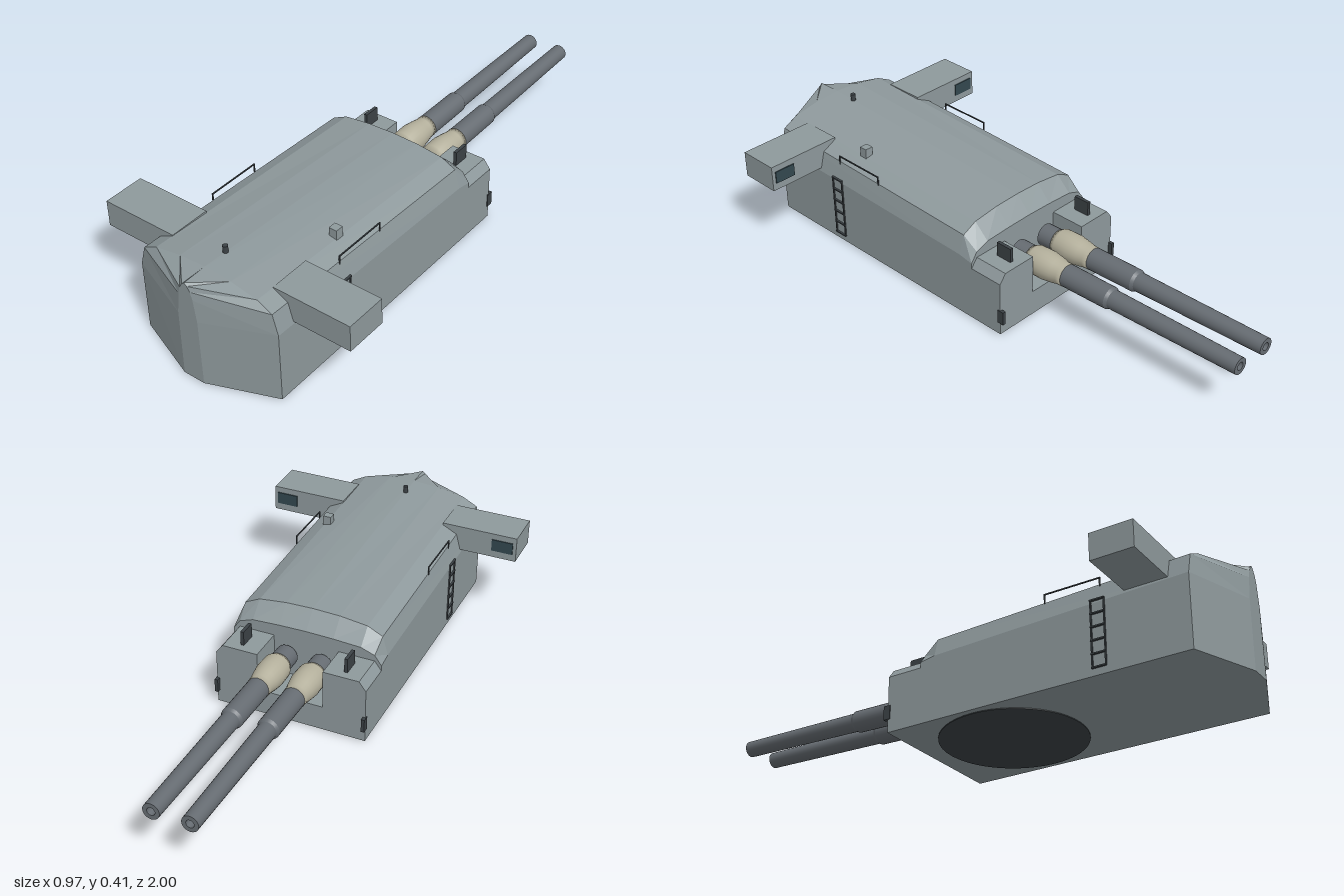
import * as THREE from 'three';

const paint = (color, extra = {}) => new THREE.MeshStandardMaterial({ color, ...extra });

// Lofts half profiles (x, y from bottom edge to crown) mirrored in x, along rising z
function loft(sections) {
  const rings = sections.map(({ z, half }) => {
    const left = half.slice(0, -1).reverse().map(([x, y]) => [-x, y]);
    return [...half, ...left].map(([x, y]) => [x, y, z]);
  });
  const pos = [];
  const n = rings[0].length;
  for (let i = 0; i < rings.length - 1; i++) {
    for (let j = 0; j < n; j++) {
      const k = (j + 1) % n;
      const [a, b, c, d] = [rings[i][j], rings[i][k], rings[i + 1][k], rings[i + 1][j]];
      pos.push(...a, ...b, ...c, ...a, ...c, ...d);
    }
  }
  // End caps as fans
  const first = rings[0], last = rings[rings.length - 1];
  for (let j = 0; j < n; j++) {
    const k = (j + 1) % n;
    pos.push(0, 0.12, first[0][2], ...first[k], ...first[j]);
    pos.push(0, 0.12, last[0][2], ...last[j], ...last[k]);
  }
  const g = new THREE.BufferGeometry();
  g.setAttribute('position', new THREE.Float32BufferAttribute(pos, 3));
  g.computeVertexNormals();
  return g;
}

export function createModel() {
  const model = new THREE.Group();
  model.name = 'gunTurret';
  const armour = paint(0x8e999c, { flatShading: true });
  const steel = paint(0x666c72);
  const canvas = paint(0xb5b19d);
  const dark = paint(0x3c4246);
  const glass = paint(0x33474f);

  const add = (name, geo, mat, x = 0, y = 0, z = 0, parent = model) => {
    const m = new THREE.Mesh(geo, mat);
    m.name = name;
    m.position.set(x, y, z);
    parent.add(m);
    return m;
  };
  const box = (name, w, h, d, mat, x, y, z, parent) =>
    add(name, new THREE.BoxGeometry(w, h, d), mat, x, y, z, parent);

  // Main armoured house, with sloped roof front and pointed rear plate
  const base = 0.003;
  add('house', loft([
    { z: -0.07, half: [[0.275, base], [0.275, 0.225], [0.25, 0.26], [0.2, 0.278], [0.1, 0.283], [0, 0.285]] },
    { z: -0.015, half: [[0.275, base], [0.275, 0.235], [0.255, 0.303], [0.2, 0.33], [0.1, 0.342], [0, 0.345]] },
    { z: 0.91, half: [[0.275, base], [0.275, 0.26], [0.255, 0.332], [0.2, 0.36], [0.1, 0.378], [0, 0.385]] },
    { z: 1, half: [[0.04, base], [0.038, 0.25], [0.028, 0.33], [0.02, 0.358], [0.01, 0.375], [0, 0.384]] },
  ]), armour);

  // Front plate with a slot between two cheeks for the guns
  const front = new THREE.Shape([
    [-0.275, base], [0.275, base], [0.275, 0.205], [0.25, 0.238], [0.12, 0.238], [0.12, 0.095],
    [-0.12, 0.095], [-0.12, 0.238], [-0.25, 0.238], [-0.275, 0.205],
  ].map(([x, y]) => new THREE.Vector2(x, y)));
  add('frontCheeks', new THREE.ExtrudeGeometry(front, { depth: 0.132, bevelEnabled: false }),
    armour, 0, 0, -0.2);

  // Bearing ring underneath
  add('bearingRing', new THREE.CylinderGeometry(0.253, 0.253, 0.004, 48), dark, 0, 0.002, 0.12);

  // Lathe profiles run from breech to muzzle along the bore
  const lathe = (pts) => new THREE.LatheGeometry(pts.map(([r, l]) => new THREE.Vector2(r, l)), 24);
  const breech = new THREE.CylinderGeometry(0.04, 0.04, 0.09, 24);
  const boot = lathe([[0, 0.055], [0.042, 0.055], [0.051, 0.075], [0.052, 0.13], [0.046, 0.17],
    [0.041, 0.195], [0.041, 0.215], [0, 0.215]]);
  const jacket = lathe([[0.04, 0.21], [0.039, 0.4], [0.039, 0.4], [0.032, 0.412]]);
  const tube = lathe([[0.033, 0.4], [0.029, 0.91], [0.029, 0.91], [0.014, 0.91], [0.014, 0.91], [0.014, 0.84]]);
  const bore = new THREE.CylinderGeometry(0.014, 0.014, 0.01, 16);

  for (const s of [1, -1]) {
    const side = s > 0 ? 'left' : 'right';

    // Gun, raised slightly
    const gun = new THREE.Group();
    gun.name = side + 'Gun';
    gun.position.set(s * 0.065, 0.181, -0.09);
    gun.rotation.x = -Math.PI / 2 + 0.022;
    model.add(gun);
    add('breech', breech, steel, 0, 0.04, 0, gun);
    add('blastBag', boot, canvas, 0, 0, 0, gun);
    add('gunJacket', jacket, steel, 0, 0, 0, gun);
    add('barrel', tube, steel, 0, 0, 0, gun);
    add('bore', bore, dark, 0, 0.84, 0, gun);

    // Rangefinder arm with window facing the guns
    box(side + 'RangefinderArm', 0.285, 0.095, 0.15, armour, s * 0.3425, 0.3125, 0.765);
    box(side + 'RangefinderWindow', 0.08, 0.045, 0.006, glass, s * 0.432, 0.315, 0.689);

    // Sight hood on the cheek and bracket on the front corner
    box(side + 'SightHood', 0.012, 0.055, 0.06, dark, s * 0.19, 0.263, -0.14);
    box(side + 'CornerBracket', 0.012, 0.05, 0.025, dark, s * 0.272, 0.075, -0.203);

    // Side ladder
    const ladder = new THREE.Group();
    ladder.name = side + 'Ladder';
    model.add(ladder);
    for (const z of [0.575, 0.622])
      box('ladderRail', 0.005, 0.235, 0.005, dark, s * 0.277, 0.145, z, ladder);
    for (let i = 0; i < 6; i++)
      box('ladderRung', 0.008, 0.005, 0.05, dark, s * 0.278, 0.03 + i * 0.046, 0.598, ladder);

    // Thin grab rail along the roof edge
    const rail = new THREE.Group();
    rail.name = side + 'RoofRail';
    model.add(rail);
    box('railBar', 0.004, 0.004, 0.2, dark, s * 0.257, 0.345, 0.5, rail);
    for (const z of [0.4, 0.6])
      box('railPost', 0.004, 0.034, 0.004, dark, s * 0.257, 0.33, z, rail);
  }

  // Roof fittings
  box('roofPeriscope', 0.03, 0.04, 0.03, armour, 0.19, 0.362, 0.533);
  add('roofPost', new THREE.CylinderGeometry(0.009, 0.009, 0.04, 12), dark, 0, 0.386, 0.82);

  return model;
}
